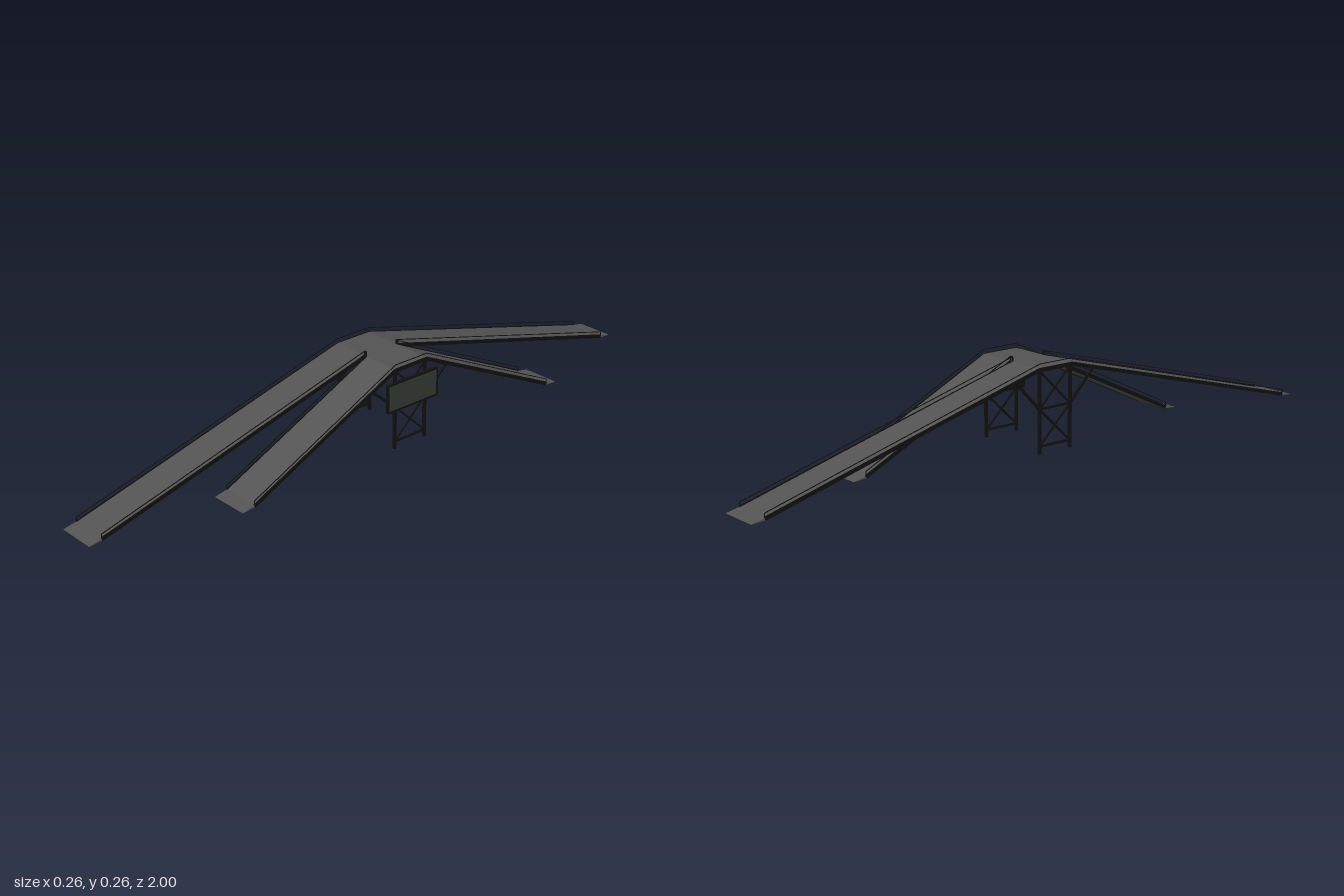
import * as THREE from 'three';

const paint = (color) => new THREE.MeshStandardMaterial({ color, side: THREE.DoubleSide });
const deckMat = paint(0x545454);
const steel = paint(0x101010);
const panelMat = paint(0x343a34);

const TOP = 0.248;    // deck height
const HALF = 0.06;    // half length of the level platform
const RAIL = 0.013;   // handrail height above the deck

export function createModel() {
  const model = new THREE.Group();
  model.name = 'doubleRampBridge';

  // Straight bar of rectangular section between two points
  function bar(parent, name, a, b, w, h = w, mat = steel) {
    const from = new THREE.Vector3(...a), to = new THREE.Vector3(...b);
    const mesh = new THREE.Mesh(new THREE.BoxGeometry(w, h, from.distanceTo(to)), mat);
    mesh.position.copy(from).add(to).multiplyScalar(0.5);
    mesh.lookAt(to);
    mesh.name = name;
    parent.add(mesh);
  }

  // One lane: ramp up, level platform, ramp down, with lips at both ends
  function lane(name, x0, x1, end, outer) {
    const group = new THREE.Group();
    group.name = name;
    const lip = end - 0.04, lipY = 0.009;
    const profile = [
      [-end, 0.001], [-lip, lipY], [-HALF, TOP], [HALF, TOP], [lip, lipY], [end, 0.001],
      [end, 0], [lip, lipY - 0.006], [HALF, TOP - 0.006],
      [-HALF, TOP - 0.006], [-lip, lipY - 0.006], [-end, 0],
    ].map((p) => new THREE.Vector2(...p));
    const geo = new THREE.ExtrudeGeometry(new THREE.Shape(profile), { depth: x1 - x0, bevelEnabled: false });
    geo.rotateY(-Math.PI / 2).translate(x1, 0, 0);
    const deck = new THREE.Mesh(geo, deckMat);
    deck.name = 'deck';
    group.add(deck);

    for (const x of [x0 + 0.001, x1 - 0.001]) {
      for (const s of [-1, 1]) {
        // Side beam, handrail and its end post along the ramp
        bar(group, 'sideBeam', [x, lipY - 0.002, s * lip], [x, TOP - 0.004, s * HALF], 0.003, 0.011);
        bar(group, 'handrail', [x, lipY + RAIL, s * lip], [x, TOP + RAIL, s * HALF], 0.002);
        bar(group, 'endPost', [x, lipY, s * lip], [x, lipY + RAIL, s * lip], 0.002);
      }
    }
    // Outer edge carries on over the platform
    bar(group, 'platformBeam', [outer, TOP - 0.004, -HALF], [outer, TOP - 0.004, HALF], 0.003, 0.011);
    bar(group, 'platformRail', [outer, TOP + RAIL, -HALF], [outer, TOP + RAIL, HALF], 0.002);
    model.add(group);
  }
  lane('longLane', -0.128, -0.009, 1, -0.127);
  lane('shortLane', -0.002, 0.118, 0.605, 0.117);

  // Platform piece and railing closing the gap between the lanes
  const gap = new THREE.Mesh(new THREE.BoxGeometry(0.007, 0.006, HALF * 2), deckMat);
  gap.position.set(-0.0055, TOP - 0.003, 0);
  gap.name = 'gapPlate';
  model.add(gap);
  for (const s of [-1, 1]) {
    const z = s * HALF;
    for (const y of [TOP - 0.003, TOP + RAIL]) bar(model, 'gapRail', [-0.01, y, z], [-0.001, y, z], 0.003);
    for (const x of [-0.01, -0.003]) bar(model, 'gapPost', [x, TOP, z], [x, TOP + RAIL, z], 0.003);
  }

  // Flat lattice trestle under each outer edge
  function trestle(name, x, longSlope) {
    const group = new THREE.Group();
    group.name = name;
    const z = 0.057, levels = [0.022, 0.13, 0.24];
    for (const s of [-1, 1]) {
      bar(group, 'leg', [x, 0, s * z], [x, TOP - 0.005, s * z], 0.008);
      bar(group, 'rampStrut', [x, 0.13, s * z], [x, TOP - 0.008 - 0.082 * longSlope, s * 0.142], 0.007);
      for (let i = 0; i < 2; i++) {
        bar(group, 'crossBrace', [x, levels[i], -s * z], [x, levels[i + 1], s * z], 0.005);
      }
    }
    for (const y of levels) bar(group, 'crossBar', [x, y, -z], [x, y, z], 0.006);
    model.add(group);
  }
  trestle('longLaneTrestle', -0.122, 0.266);
  trestle('shortLaneTrestle', 0.112, 0.45);

  // Framed sign board on the short lane side
  const sign = new THREE.Group();
  sign.name = 'signBoard';
  const board = new THREE.Mesh(new THREE.BoxGeometry(0.007, 0.08, 0.184), panelMat);
  board.position.set(0.1225, 0.168, 0.001);
  board.name = 'signPanel';
  sign.add(board);
  const back = new THREE.Mesh(new THREE.BoxGeometry(0.003, 0.084, 0.188), steel);
  back.position.set(0.1185, 0.168, 0.001);
  back.name = 'signBack';
  sign.add(back);
  for (const s of [-1, 1]) {
    const y = 0.168 + s * 0.041, z = 0.001 + s * 0.093;
    bar(sign, 'signFrame', [0.123, y, -0.094], [0.123, y, 0.096], 0.01, 0.005);
    bar(sign, 'signFrame', [0.123, 0.126, z], [0.123, 0.21, z], 0.01, 0.005);
  }
  model.add(sign);

  return model;
}
